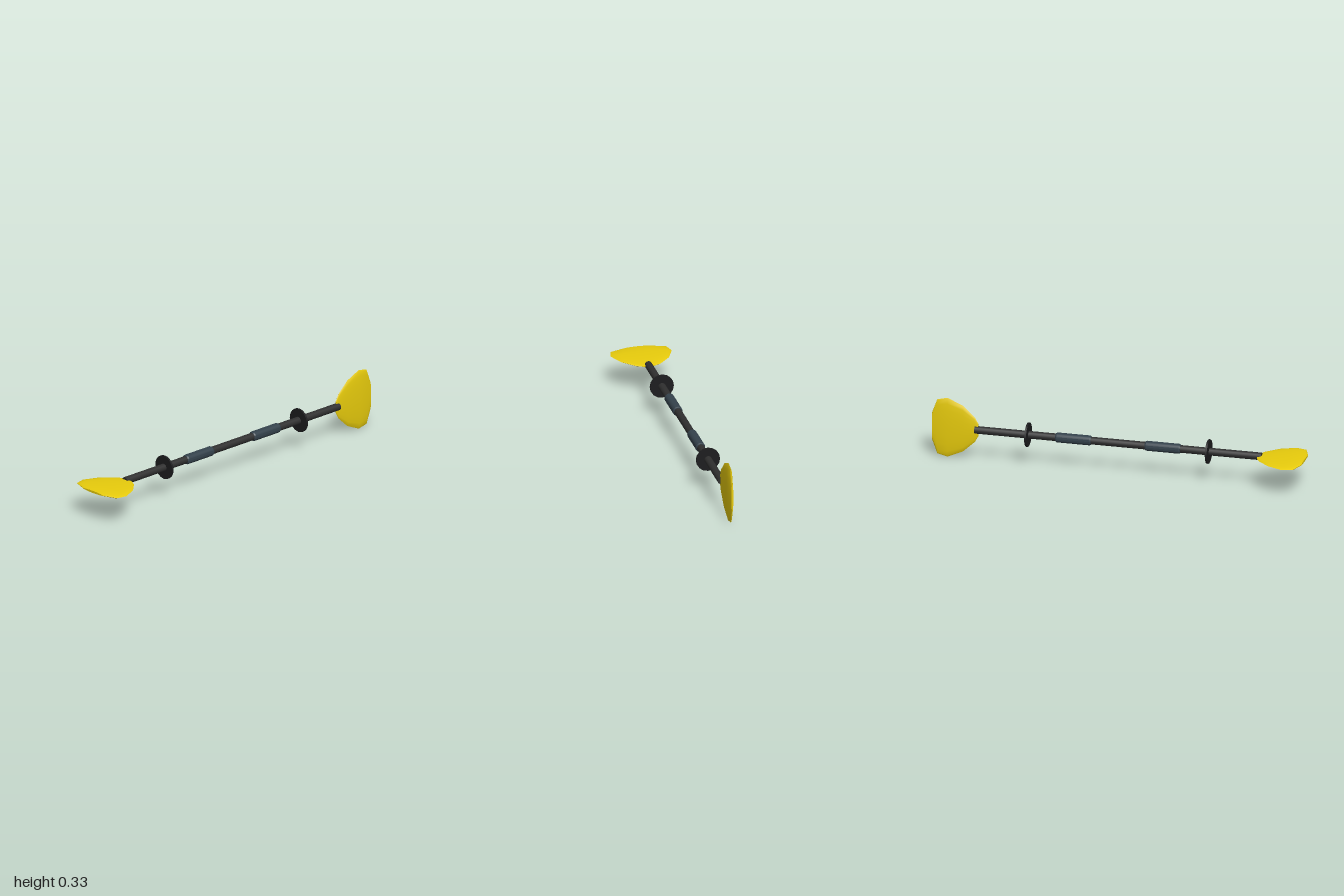
import * as THREE from 'three';
import { toCreasedNormals } from 'three/addons/utils/BufferGeometryUtils.js';

const AXIS_Y = 0.165;
const mat = (color) => new THREE.MeshStandardMaterial({ color });

// Blade: thin elliptical sections along +x, [x, half width, half thickness]
function bladeGeometry() {
  const stations = [
    [0.752, 0.035, 0.004], [0.77, 0.068, 0.006], [0.834, 0.127, 0.01],
    [0.917, 0.164, 0.012], [0.972, 0.151, 0.01], [1, 0.075, 0.006],
  ];
  const sides = 20, last = stations.length - 1;
  const pos = [], idx = [];
  for (const [x, w, t] of stations) {
    for (let j = 0; j < sides; j++) {
      const a = (j / sides) * Math.PI * 2;
      pos.push(x, w * Math.cos(a), t * Math.sin(a));
    }
  }
  const root = pos.length / 3, tip = root + 1;
  pos.push(stations[0][0], 0, 0, stations[last][0], 0, 0);
  for (let j = 0; j < sides; j++) {
    const k = (j + 1) % sides;
    for (let i = 0; i < last; i++) {
      const a = i * sides, b = a + sides;
      idx.push(a + j, a + k, b + j, a + k, b + k, b + j);
    }
    idx.push(root, k, j, tip, last * sides + j, last * sides + k);
  }
  const g = new THREE.BufferGeometry();
  g.setAttribute('position', new THREE.Float32BufferAttribute(pos, 3));
  g.setIndex(idx);
  return toCreasedNormals(g, 0.7);
}

// Cylinder lying along x
function rod(radius, length, sides) {
  return new THREE.CylinderGeometry(radius, radius, length, sides).rotateZ(Math.PI / 2);
}

export function createModel() {
  const group = new THREE.Group();
  const add = (name, geometry, material, x = 0) => {
    const mesh = new THREE.Mesh(geometry, material);
    mesh.name = name;
    mesh.position.set(x, AXIS_Y, 0);
    group.add(mesh);
    return mesh;
  };
  const yellow = mat(0xe8cc0c), dark = mat(0x303030);
  const gripColor = mat(0x34424c), discColor = mat(0x1c1c1e);

  add('shaft', rod(0.02, 1.54, 16), dark);

  // Grip sleeve with slightly tapered ends
  const profile = [[0.019, -0.095], [0.022, -0.095], [0.026, -0.088], [0.026, 0.088], [0.022, 0.095], [0.019, 0.095]];
  const grip = toCreasedNormals(
    new THREE.LatheGeometry(profile.map(([r, y]) => new THREE.Vector2(r, y)), 16).rotateZ(Math.PI / 2), 0.45);
  const disc = rod(0.064, 0.01, 16);

  for (const [side, s] of [['left', 1], ['right', -1]]) {
    add(side + 'Grip', grip, gripColor, s * 0.24);
    add(side + 'DripGuard', disc, discColor, s * 0.485);
  }

  // Blades feathered by a quarter turn
  const blade = bladeGeometry();
  add('leftBlade', blade, yellow);
  add('rightBlade', blade.clone().rotateY(Math.PI).rotateX(Math.PI / 2), yellow);
  return group;
}
